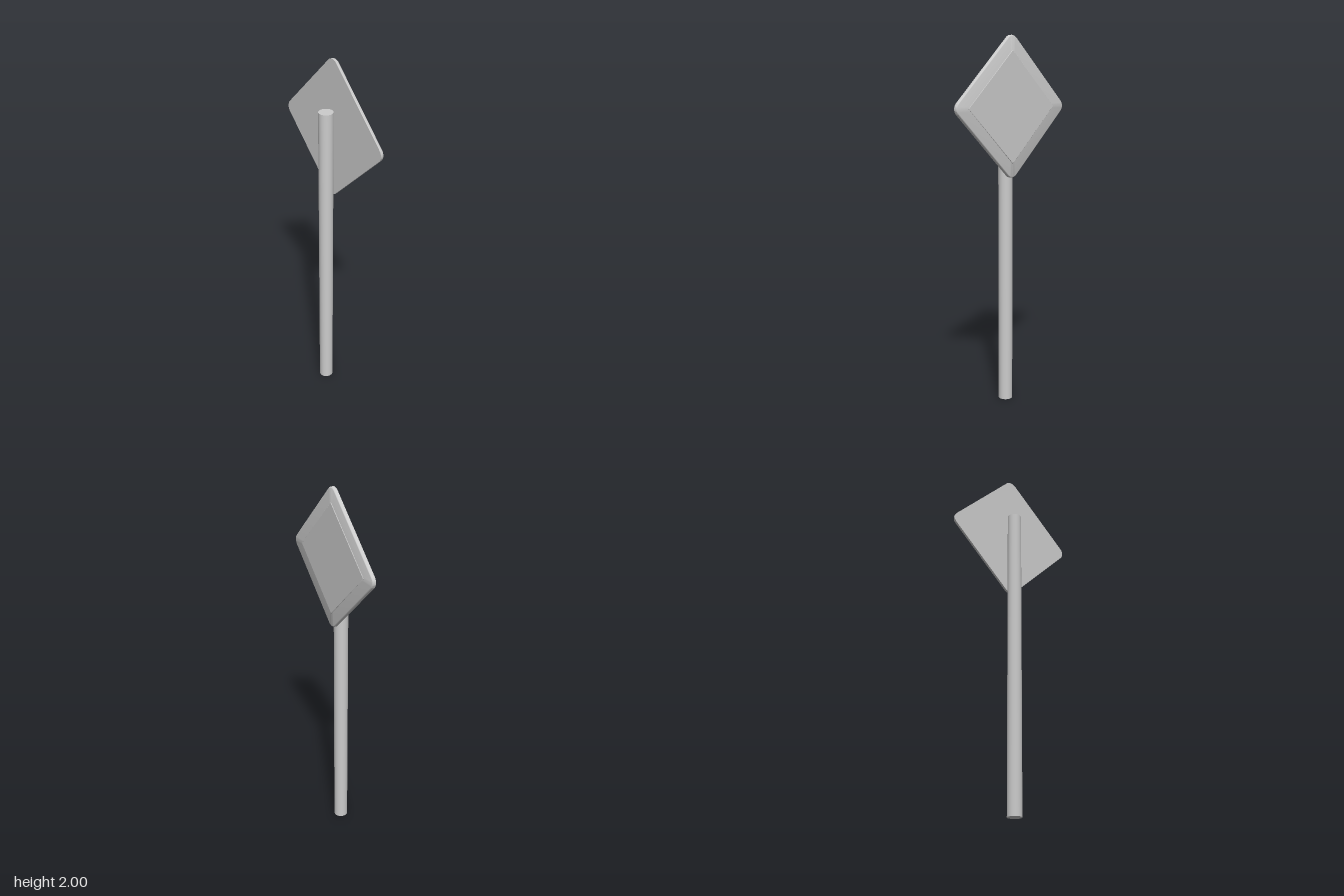
import * as THREE from 'three';
import { toCreasedNormals } from 'three/addons/utils/BufferGeometryUtils.js';

// Solid lofted through rounded squares; each ring is [half side, corner radius, depth].
function loftSquares(rings, cornerSteps = 8) {
  const n = 4 * (cornerSteps + 1);
  const pos = [], index = [];
  for (const [half, radius, depth] of rings) {
    const c = half - radius;
    for (let k = 0; k < 4; k++) {
      const sx = k === 0 || k === 3 ? 1 : -1, sy = k < 2 ? 1 : -1;
      for (let s = 0; s <= cornerSteps; s++) {
        const a = (k + s / cornerSteps) * Math.PI / 2;
        pos.push(sx * c + radius * Math.cos(a), sy * c + radius * Math.sin(a), depth);
      }
    }
  }
  const last = (rings.length - 1) * n, centre = rings.length * n;
  pos.push(0, 0, rings[0][2], 0, 0, rings[rings.length - 1][2]);
  for (let j = 0; j < n; j++) {
    const k = (j + 1) % n;
    for (let i = 0; i < last; i += n) {
      index.push(i + j, i + k, i + n + k, i + j, i + n + k, i + n + j);
    }
    index.push(centre, k, j, centre + 1, last + j, last + k);
  }
  const geo = new THREE.BufferGeometry();
  geo.setAttribute('position', new THREE.Float32BufferAttribute(pos, 3));
  geo.setIndex(index);
  return toCreasedNormals(geo, 0.6);
}

export function createModel() {
  const model = new THREE.Group();
  const grey = new THREE.MeshStandardMaterial({ color: 0xcccccc });
  const add = (parent, name, geometry) => {
    const mesh = new THREE.Mesh(geometry, grey);
    mesh.name = name;
    parent.add(mesh);
    return mesh;
  };

  // Round post
  const postHeight = 1.737;
  const post = add(model, 'post', new THREE.CylinderGeometry(0.0385, 0.0385, postHeight, 48));
  post.position.set(-0.0115, postHeight / 2, 0);

  // Diamond sign: a square on its corner, facing +x
  const sign = new THREE.Group();
  sign.name = 'sign';
  sign.position.set(0.027, 1.63, 0);
  sign.rotation.set(0, Math.PI / 2, Math.PI / 4);
  model.add(sign);

  // Plate with a flat back and a rounded front rim
  const half = 0.275, corner = 0.042, thick = 0.02, rim = 0.009;
  const plateRings = [[half, corner, 0]];
  for (let i = 0; i <= 5; i++) {
    const a = i / 5 * Math.PI / 2, inset = rim * (1 - Math.cos(a));
    plateRings.push([half - inset, corner - inset, thick - rim + rim * Math.sin(a)]);
  }
  add(sign, 'signPlate', loftSquares(plateRings));

  // Slightly raised square face
  add(sign, 'raisedFace', loftSquares([
    [0.2095, 0.003, thick - 0.004],
    [0.2095, 0.003, thick + 0.001],
    [0.208, 0.002, thick + 0.0025],
  ], 3));

  return model;
}
